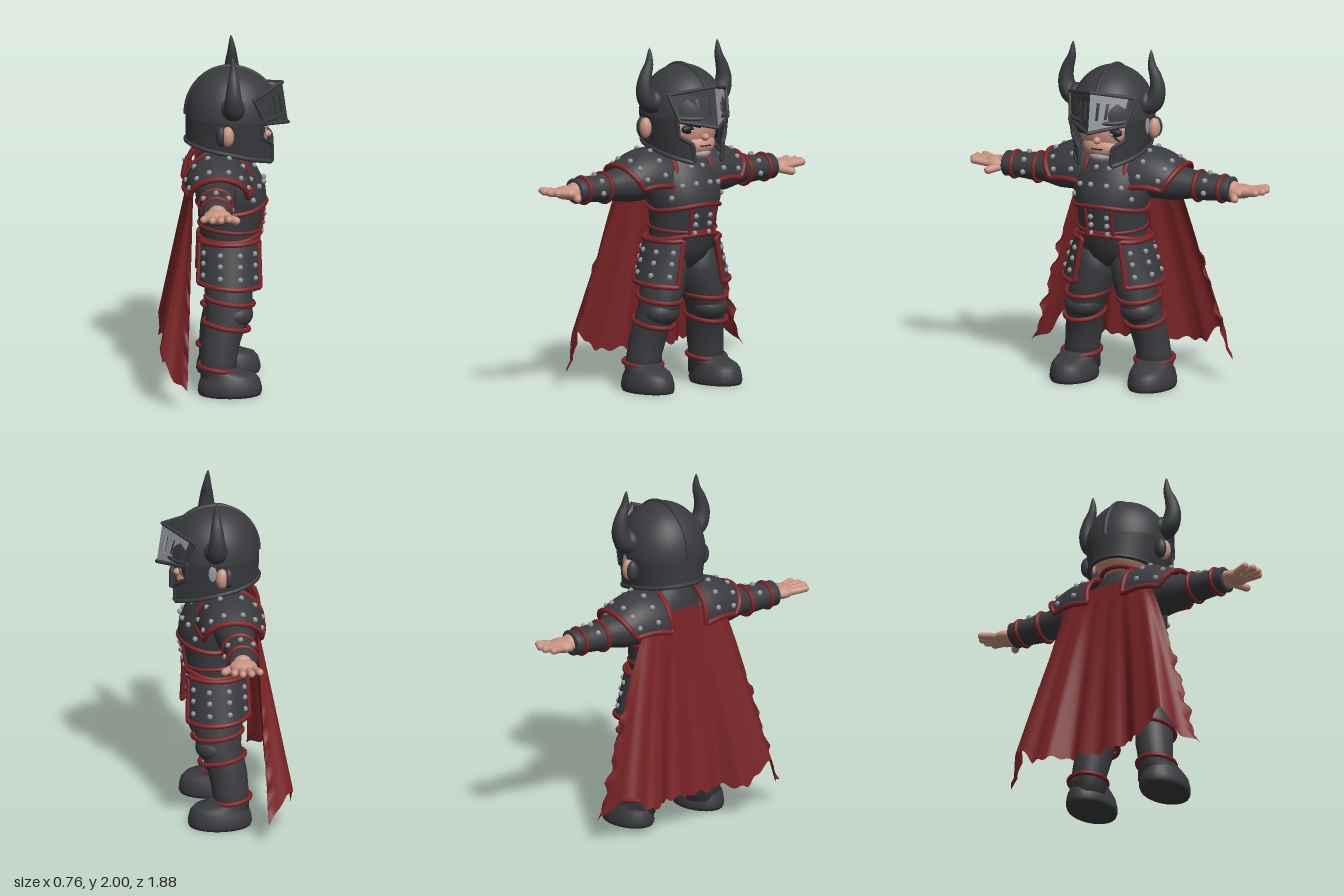
import * as THREE from 'three';
import { mergeGeometries, mergeVertices } from 'three/addons/utils/BufferGeometryUtils.js';

const V = (x, y, z) => new THREE.Vector3(x, y, z);
const paint = (name, color, side = THREE.FrontSide) => Object.assign(new THREE.MeshStandardMaterial({ color, side }), { name });
const { lerp, smoothstep } = THREE.MathUtils;

// Indexed geometry from points and triangle indices
function build(points, index) {
  const g = new THREE.BufferGeometry().setFromPoints(points);
  g.setIndex(index);
  g.computeVertexNormals();
  return g;
}
// Rings [cx, y, cz, rx, rz] joined upwards and capped
function loft(rings, n = 28) {
  const p = [], idx = [];
  for (const [cx, y, cz, rx, rz] of rings)
    for (let j = 0; j < n; j++) {
      const a = (j / n) * Math.PI * 2;
      p.push(V(cx + rx * Math.cos(a), y, cz + rz * Math.sin(a)));
    }
  for (let i = 0; i < rings.length - 1; i++)
    for (let j = 0; j < n; j++) {
      const a = i * n + j, b = i * n + ((j + 1) % n);
      idx.push(a, a + n, b, b, a + n, b + n);
    }
  const first = rings[0], last = rings[rings.length - 1], top = (rings.length - 1) * n;
  p.push(V(...first.slice(0, 3)), V(...last.slice(0, 3)));
  for (let j = 0; j < n; j++) {
    const k = (j + 1) % n;
    idx.push(p.length - 2, j, k, p.length - 1, top + k, top + j);
  }
  return build(p, idx);
}
// Limb along +x at height y: stations [x, radiusY, radiusZ]
const limb = (y, z, st) => loft(st.map(([x, ry, rz]) => [-y, x, z, ry, rz])).rotateZ(-Math.PI / 2);
// Open sheet from f(u, v), u and v from 0 to 1
function sheet(f, nu, nv) {
  const p = [], idx = [];
  for (let i = 0; i <= nv; i++) for (let j = 0; j <= nu; j++) p.push(f(j / nu, i / nv));
  for (let i = 0; i < nv; i++)
    for (let j = 0; j < nu; j++) {
      const a = i * (nu + 1) + j, b = a + nu + 1;
      idx.push(a, b, a + 1, a + 1, b, b + 1);
    }
  return build(p, idx);
}
const tube = (pts, r, closed = false) =>
  new THREE.TubeGeometry(new THREE.CatmullRomCurve3(pts, closed, 'centripetal'), pts.length * 3, r, 8, closed);
// Cord following the border of a sheet
function border(f, r) {
  const p = [], n = 8;
  for (let i = 0; i < n; i++) p.push(f(i / n, 0));
  for (let i = 0; i < n; i++) p.push(f(1, i / n));
  for (let i = n; i > 0; i--) p.push(f(i / n, 1));
  for (let i = n; i > 0; i--) p.push(f(0, i / n));
  return tube(p, r, true);
}
// Cord around a horizontal ellipse, dy(front) bends it, front = 1 ahead and -1 behind
function band(cx, y, cz, rx, rz, r, dy = () => 0) {
  const p = [];
  for (let i = 0; i < 24; i++) {
    const a = (i / 24) * Math.PI * 2;
    p.push(V(cx + rx * Math.sin(a), y + dy(Math.cos(a)), cz + rz * Math.cos(a)));
  }
  return tube(p, r, true);
}
const ball = (x, y, z, rx, ry = rx, rz = rx, n = 20) => new THREE.SphereGeometry(1, n, n * 0.7).scale(rx, ry, rz).translate(x, y, z);
const studs = (pts) => mergeGeometries(pts.map((p) => ball(p.x, p.y, p.z, 0.017, 0.017, 0.017, 7)));
function capsule(p, q, r) {
  const d = q.clone().sub(p), g = new THREE.CapsuleGeometry(r, d.length(), 5, 10);
  g.applyQuaternion(new THREE.Quaternion().setFromUnitVectors(V(0, 1, 0), d.normalize()));
  const m = p.clone().add(q).multiplyScalar(0.5);
  return g.translate(m.x, m.y, m.z);
}
function mirrored(g) {
  const m = mergeVertices(g.clone()).scale(-1, 1, 1), k = m.index.array;
  for (let i = 0; i < k.length; i += 3) [k[i], k[i + 1]] = [k[i + 1], k[i]];
  return m;
}

export function createModel() {
  const D = THREE.DoubleSide;
  const iron = paint('dark iron', 0x3a3b3f), plate = paint('dark plate', 0x3a3b3f, D), red = paint('red cord', 0x7d2427);
  const cloth = paint('red cloth', 0x7a2426, D), skin = paint('skin', 0xc99482), steel = paint('steel', 0x96999d, D);
  const black = paint('black', 0x242226), grey = paint('grey beard', 0xa3a3a5);
  const body = new THREE.Group();
  body.name = 'knight';
  const add = (name, g, m) => {
    const mesh = new THREE.Mesh(g, m);
    mesh.name = name;
    body.add(mesh);
  };
  const pair = (name, g, m) => { add(name + 'Left', g, m); add(name + 'Right', mirrored(g), m); };

  // Torso with cords and studs
  add('torso', loft([[0, .7, .02, .07, .08], [0, .76, .03, .16, .13], [0, .82, .03, .19, .155], [0, .9, .035, .2, .175], [0, 1, .04, .2, .188],
    [0, 1.06, .045, .208, .195], [0, 1.1, .045, .222, .2], [0, 1.18, .04, .23, .197], [0, 1.27, .02, .225, .175], [0, 1.34, 0, .18, .15], [0, 1.39, 0, .13, .125], [0, 1.46, 0, .1, .1]], 36), iron);
  add('chestCord', band(0, 1.05, .045, .213, .198, .014, (f) => (f > 0 ? .035 * f * f : -.03 * f)), red);
  add('waistCord', band(0, .94, .035, .2, .178, .011, (f) => -.015 * f), red);
  add('beltCord', band(0, .88, .035, .203, .18, .014, (f) => (f > 0 ? .03 * f * f : 0)), red);
  add('collarCord', band(0, 1.385, 0, .14, .135, .014, (f) => -.04 * f), red);
  pair('bellyCord', tube([V(.085, 1.07, .225), V(.08, .99, .218), V(.085, .9, .2)], .01), red);
  pair('bellyStuds', studs([V(.05, 1.02, .228), V(.05, .97, .222), V(.05, .92, .212)]), steel);
  pair('chestStuds', studs([V(.05, 1.21, .228), V(.13, 1.2, .2), V(.04, 1.3, .168), V(.18, 1.13, .165)]), steel);

  // Shoulder plates, narrowing down onto the arm
  const shoulder = (u, v) => {
    const k = u * 2 - 1, a = k * 1.62;
    return V(.125 + .3 * v - .075 * v * k * k, 1.2 + lerp(.2, .122, v * v) * Math.cos(a) + .015 * Math.sin(v * Math.PI), -.035 + lerp(.195, .165, v * v) * Math.sin(a));
  };
  pair('shoulderPlate', sheet(shoulder, 24, 10), plate);
  pair('shoulderCord', border(shoulder, .016), red);
  pair('shoulderStuds', studs([.1, .25, .4, .6, .75, .9].flatMap((u) => [shoulder(u, .35), shoulder(u, .82)])), steel);

  // Arms, bracers and hands
  pair('arm', limb(1.205, -.05, [[.15, .09, .09], [.25, .105, .12], [.36, .105, .115], [.45, .086, .093], [.54, .072, .08], [.72, .06, .07]]), iron);
  pair('bracer', limb(1.2, -.055, [[.5, .075, .085], [.52, .082, .094], [.6, .076, .086], [.68, .07, .08], [.715, .074, .085], [.725, .06, .07]]), iron);
  for (const [x, r] of [[.51, .083], [.66, .073]])
    pair('bracerCord', band(-1.2, x, -.055, r, r + .01, .013).rotateZ(-Math.PI / 2), red);
  pair('bracerStuds', studs([-.9, 0, .9, 1.8].map((a) => V(.575, 1.2 + .082 * Math.cos(a), -.055 + .092 * Math.sin(a)))), steel);
  pair('palm', mergeGeometries([ball(.775, 1.198, -.05, .078, .04, .08), ball(.725, 1.2, -.05, .045, .052, .055)]), skin);
  for (const [z, x] of [[-.115, .895], [-.072, .918], [-.028, .918], [.012, .895]])
    pair('finger', capsule(V(.81, 1.2, lerp(-.05, z, .8)), V(x, 1.212, z * 1.15), .021), skin);
  pair('thumb', capsule(V(.745, 1.185, 0), V(.785, 1.175, .058), .023), skin);

  // Legs, knees and boots
  pair('leg', loft([[.235, .06, -.035, .11, .105], [.225, .2, -.033, .1, .105], [.208, .3, -.02, .107, .112], [.195, .38, 0, .105, .118],
    [.175, .47, .03, .11, .13], [.14, .58, .025, .122, .138], [.115, .68, .02, .117, .14], [.1, .8, .02, .1, .13]]), iron);
  pair('kneePlate', ball(.178, .455, .065, .108, .08, .1), iron);
  pair('upperKneeCord', band(.163, .525, .03, .119, .138, .014, (f) => -.02 * f + .01), red);
  pair('lowerKneeCord', band(.192, .395, .01, .11, .13, .014, (f) => -.025 * f), red);
  pair('ankleCord', band(.232, .155, -.035, .11, .111, .014, (f) => -.015 * f), red);
  pair('boot', loft([[.248, 0, .03, .125, .178], [.248, .02, .03, .132, .185], [.248, .05, .03, .13, .183], [.248, .09, .03, .122, .172],
    [.246, .115, .025, .11, .155], [.24, .135, -.015, .11, .118], [.235, .16, -.03, .108, .11]]), iron);
  add('toeStainLeft', ball(.275, .104, .14, .028, .012, .03), red);

  // Thigh plates
  const thigh = (u, v) => {
    const a = lerp(-1.22, 1.22, u), rx = lerp(.158, .21, v);
    return V(lerp(.066, .092, v) + rx * Math.cos(a), lerp(.875, .63, v) - .015 * Math.sin(a) * v, .028 + lerp(.18, .188, v) * Math.sin(a));
  };
  pair('thighPlate', sheet(thigh, 20, 6), plate);
  pair('thighCord', border(thigh, .015), red);
  pair('thighStuds', studs([.12, .38, .64, .88].flatMap((u) => [.25, .5, .78].map((v) => thigh(u, v)))), steel);

  // Head and face
  add('head', mergeGeometries([ball(0, 1.53, .035, .19, .19, .215, 28), ball(0, 1.43, .125, .135, .085, .13), ball(0, 1.48, .243, .022, .022, .03)]), skin);
  pair('ear', ball(.255, 1.53, .018, .035, .06, .036), skin);
  pair('earGuard', ball(.25, 1.53, -.02, .036, .06, .03), iron);
  pair('eye', ball(.095, 1.53, .212, .048, .026, .024), black);
  pair('eyeGlint', ball(.082, 1.52, .235, .014, .008, .006), grey);
  pair('brow', capsule(V(.04, 1.55, .243), V(.13, 1.575, .195), .014), black);
  add('scar', capsule(V(.1, 1.505, .225), V(.13, 1.46, .185), .006), black);
  add('mouth', new THREE.BoxGeometry(.07, .007, .02).translate(0, 1.43, .247), black);
  add('beard', ball(0, 1.382, .175, .078, .04, .076), grey);

  // Helmet: dome, cheek wall with a stepped face opening, rim and crest
  const shell = (a, y) => {
    const s = y > 1.6 ? Math.sqrt(Math.max(0, 1 - ((y - 1.6) / .28) ** 2)) : 1, low = Math.max(0, 1.6 - y);
    const c = Math.cos(a);
    return V(.243 * s * (1 - .7 * low) * Math.sin(a), y, .03 + (c > 0 ? .28 : .25) * s * c);
  };
  const dome = (u, v) => shell(u * Math.PI * 2, 1.6 + .28 * Math.cos(v * Math.PI / 2));
  const open = .85;
  const wall = (u, v) => {
    const edge = lerp(open, .52, smoothstep(v, .4, .62)), a = lerp(edge, Math.PI * 2 - edge, u);
    return shell(a, lerp(1.6, 1.408 - .045 * Math.cos(a) - .03 * Math.max(0, Math.cos(a)), v));
  };
  add('helmetDome', sheet(dome, 48, 16), plate);
  add('helmetWall', sheet(wall, 48, 14), plate);
  const rim = [];
  for (let i = 0; i < 12; i++) rim.push(wall(0, i / 12));
  for (let i = 0; i <= 30; i++) rim.push(wall(i / 30, 1));
  for (let i = 11; i >= 0; i--) rim.push(wall(1, i / 12));
  for (let i = 1; i < 6; i++) rim.push(shell(lerp(-open, open, i / 6), 1.6));
  add('helmetRim', tube(rim, .013, true), iron);
  const crest = [];
  for (let i = 0; i <= 16; i++) {
    const t = lerp(0, Math.PI, i / 16);
    crest.push(shell(t < Math.PI / 2 ? 0 : Math.PI, 1.6 + .28 * Math.sin(t)));
  }
  add('helmetCrest', tube(crest, .013), iron);
  add('wornPatchLeft', ball(.237, 1.555, .07, .008, .05, .024), steel);

  // Raised visor, a slotted plate on each side of a centre ridge
  const corner = [V(0, 1.55, .368), V(.175, 1.585, .235), V(.21, 1.735, .17), V(0, 1.785, .335)];
  const visor = (s, t) => corner[0].clone().lerp(corner[1], s).lerp(corner[3].clone().lerp(corner[2], s), t);
  const out = V(.55, .1, .83);
  const visorPart = (a, b, slots) => {
    const rect = (P, x0, x1, y0, y1) => P.moveTo(x0, y0).lineTo(x1, y0).lineTo(x1, y1).lineTo(x0, y1).closePath();
    const sh = rect(new THREE.Shape(), a, b, 0, 1);
    for (const s of slots) sh.holes.push(rect(new THREE.Path(), s, s + .075, .28, .75));
    const g = new THREE.ExtrudeGeometry(sh, { depth: .014, bevelEnabled: false }), p = g.attributes.position;
    for (let i = 0; i < p.count; i++) {
      const q = visor(p.getX(i), p.getY(i)).addScaledVector(out, p.getZ(i) - .014);
      p.setXYZ(i, q.x, q.y, q.z);
    }
    g.computeVertexNormals();
    return g;
  };
  const inner = visorPart(0, .85, [.16, .38, .6]);
  add('visorPlateLeft', inner, steel);
  add('visorPlateRight', mirrored(inner).toNonIndexed(), plate);
  pair('visorSide', visorPart(.85, 1, []), plate);
  pair('visorFrame', mergeGeometries([[0, 1], [1, 2], [2, 3]].map(([a, b]) => capsule(corner[a], corner[b], .011))), iron);

  // Horns: tapered tubes with a collar at the root
  const path = new THREE.CatmullRomCurve3([V(.19, 1.67, .05), V(.26, 1.69, .05), V(.29, 1.76, .05), V(.28, 1.84, .05), V(.255, 1.91, .05), V(.248, 2, .045)]);
  const horn = new THREE.TubeGeometry(path, 30, 1, 14), hp = horn.attributes.position;
  for (let i = 0; i < hp.count; i++) {
    const t = Math.floor(i / 15) / 30, c = path.getPointAt(t);
    const q = V(hp.getX(i), hp.getY(i), hp.getZ(i)).sub(c).multiplyScalar(.066 * (1 - t) ** .7 + .001).add(c);
    hp.setXYZ(i, q.x, q.y, q.z);
  }
  horn.computeVertexNormals();
  pair('horn', horn, iron);
  pair('hornRoot', ball(.225, 1.685, .05, .045, .07, .07), iron);

  // Ragged cape, its side edges curling forward
  const hem = [.12, .17, .34, .27, .2, .19, .21, .19, .2, .18, .21, .19, .21, .2, .2, .3, .28, .14];
  const cape = (u, v) => {
    const k = u * 2 - 1, e = Math.abs(k), h = u * (hem.length - 1), i = Math.min(Math.floor(h), hem.length - 2);
    const end = lerp(hem[i], hem[i + 1], h - i) + .01 * Math.sin(u * 97);
    const rag = e > .97 && v > .4 ? .012 * (Math.sin(v * 61) + Math.sin(v * 37)) : 0;
    const x = k * (.27 + .355 * v ** .85 - rag);
    const bottom = -.285 - .09 * Math.sin(Math.PI * Math.max(0, (e - .3) / .7)) + .065 * e ** 12 + .012 * Math.sin(u * 40);
    return V(x, lerp(1.3 - .05 * k * k, end, v), lerp(-.18, bottom, v));
  };
  add('cape', sheet(cape, 96, 36), cloth);

  // The figure faces +x
  body.rotation.y = Math.PI / 2;
  const model = new THREE.Group();
  model.add(body);
  return model;
}
